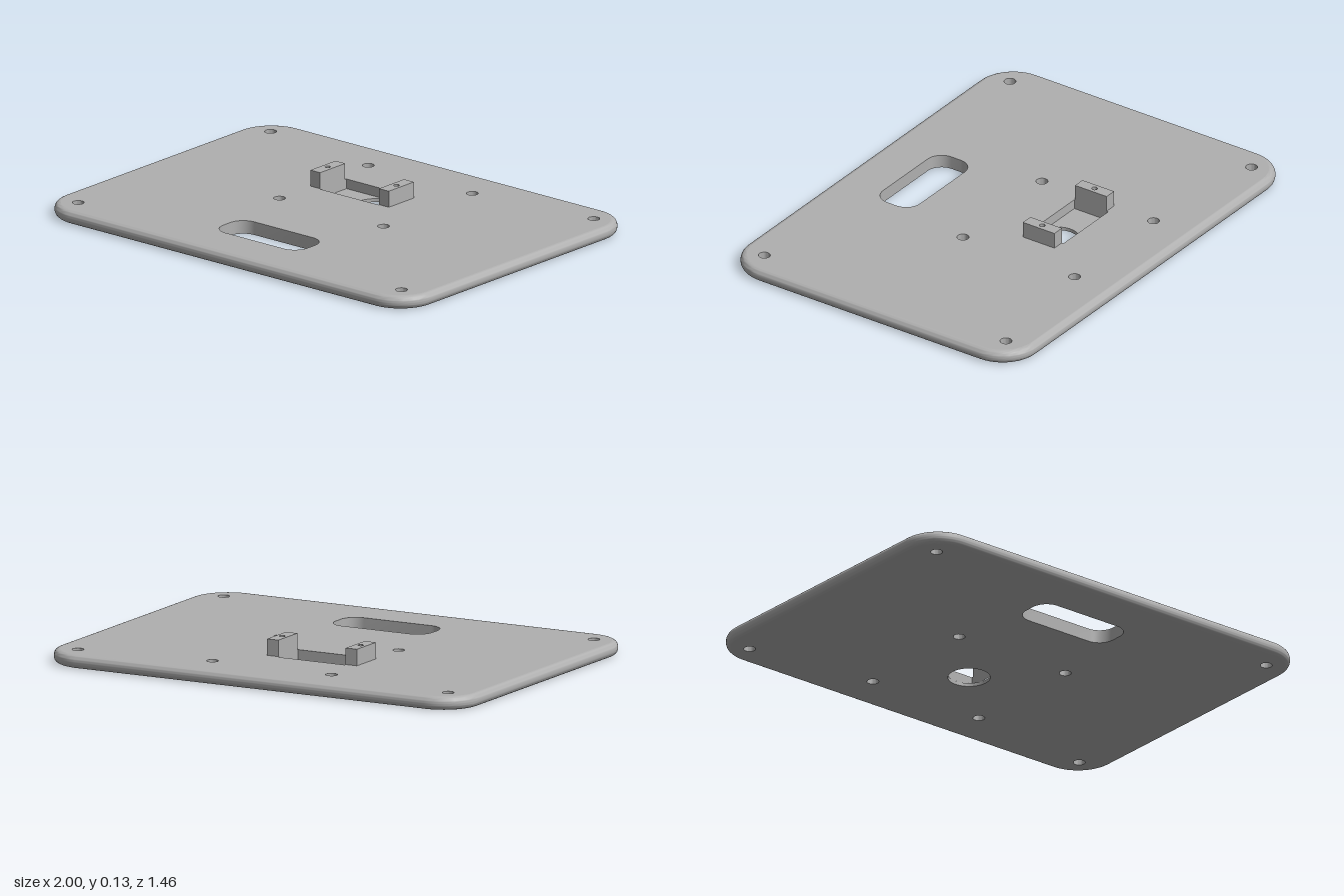
import * as THREE from 'three';
import { toCreasedNormals } from 'three/addons/utils/BufferGeometryUtils.js';

const TOP = 0.057, FLOOR = 0.015, POST_TOP = 0.127;
const EDGE = 0.026; // edge rounding

// Outlines are counter-clockwise [x, -z] points.
function circle(x, v, r, n = 32) {
  return Array.from({ length: n }, (_, i) => {
    const a = (i / n) * Math.PI * 2;
    return new THREE.Vector2(x + r * Math.cos(a), v + r * Math.sin(a));
  });
}

function rect(x0, x1, v0, v1, r = 0, n = 12) {
  const pts = [];
  const corners = [[x1 - r, v1 - r], [x0 + r, v1 - r], [x0 + r, v0 + r], [x1 - r, v0 + r]];
  corners.forEach(([cx, cv], k) => {
    if (!r) return pts.push(new THREE.Vector2(cx, cv));
    for (let i = 0; i <= n; i++) {
      const a = (k + i / n) * Math.PI / 2;
      pts.push(new THREE.Vector2(cx + r * Math.cos(a), cv + r * Math.sin(a)));
    }
  });
  return pts;
}

function makeShape(outline, holes) {
  const shape = new THREE.Shape(outline);
  holes.forEach((h) => shape.holes.push(new THREE.Path(h)));
  return shape;
}

// Flat face at height y, facing up or down
function face(outline, holes, y, down = false) {
  const g = new THREE.ShapeGeometry(makeShape(outline, holes));
  if (down) {
    g.index.array.reverse();
    g.computeVertexNormals();
  }
  return g.rotateX(-Math.PI / 2).translate(0, y, 0);
}

// Skin between closed rings; rising rings face outward, falling rings inward
function loft(rings) {
  const pos = [], idx = [], n = rings[0].pts.length;
  rings.forEach(({ pts, y }) => pts.forEach((p) => pos.push(p.x, y, -p.y)));
  for (let j = 0; j < rings.length - 1; j++) {
    for (let i = 0; i < n; i++) {
      const a = j * n + i, b = j * n + (i + 1) % n;
      idx.push(a, b, b + n, a, b + n, a + n);
    }
  }
  const g = new THREE.BufferGeometry();
  g.setAttribute('position', new THREE.Float32BufferAttribute(pos, 3));
  g.setIndex(idx);
  return toCreasedNormals(g, 0.7);
}

const holeWall = (pts, y0, y1) => loft([{ pts, y: y1 }, { pts, y: y0 }]);

export function createModel() {
  const model = new THREE.Group();
  model.name = 'mountingPlate';
  const grey = new THREE.MeshStandardMaterial({ color: 0xb0b0b0 });
  grey.name = 'grey';
  const add = (name, geometry) => {
    const mesh = new THREE.Mesh(geometry, grey);
    mesh.name = name;
    model.add(mesh);
    return mesh;
  };

  // Openings
  const screwHoles = [];
  for (const s of [-1, 1]) {
    for (const v of [0.613, -0.613]) screwHoles.push(circle(s * 0.88, v, 0.025, 24));
    for (const v of [0.538, -0.028]) screwHoles.push(circle(s * 0.283, v, 0.025, 24));
  }
  const slot = rect(-0.23, 0.23, -0.52, -0.333, 0.07);
  const pocket = rect(-0.235, 0.085, 0.17, 0.342);
  const bore = circle(0, 0.255, 0.088, 48);

  // Plate faces and rounded rim
  const outline = (inset) => rect(-1 + inset, 1 - inset, -0.731 + inset, 0.731 - inset, 0.17 - inset);
  add('plateTop', face(outline(EDGE), [...screwHoles, slot, pocket], TOP));
  add('plateBottom', face(outline(EDGE), [...screwHoles, slot, bore], 0, true));
  const rim = [];
  for (const upper of [false, true]) {
    for (let i = 0; i <= 8; i++) {
      const a = ((upper ? i : i - 8) / 8) * Math.PI / 2;
      const y = (upper ? TOP - EDGE : EDGE) + EDGE * Math.sin(a);
      rim.push({ pts: outline(EDGE * (1 - Math.cos(a))), y });
    }
  }
  add('plateRim', loft(rim));

  // Walls of the openings
  screwHoles.forEach((h) => add('screwHole', holeWall(h, 0, TOP)));
  add('slotWall', holeWall(slot, 0, TOP));
  add('pocketWall', holeWall(pocket, FLOOR, TOP));
  // The bore nearly touches the pocket end, so its outline is trimmed there
  const trimmedBore = bore.map((p) => new THREE.Vector2(Math.min(p.x, 0.0845), p.y));
  add('pocketFloor', face(pocket, [trimmedBore.map((p) => new THREE.Vector2(p.x, THREE.MathUtils.clamp(p.y, 0.1705, 0.3415)))], FLOOR));
  add('boreWall', holeWall(bore, 0, FLOOR));

  // Two mounting posts with small screw holes
  for (const [x0, x1] of [[-0.288, -0.235], [0.085, 0.139]]) {
    const shape = makeShape(rect(x0, x1, 0.174, 0.334), [circle((x0 + x1) / 2, 0.254, 0.012, 20)]);
    const g = new THREE.ExtrudeGeometry(shape, { depth: POST_TOP - TOP, bevelEnabled: false });
    add('post', g.rotateX(-Math.PI / 2).translate(0, TOP, 0));
  }
  return model;
}
